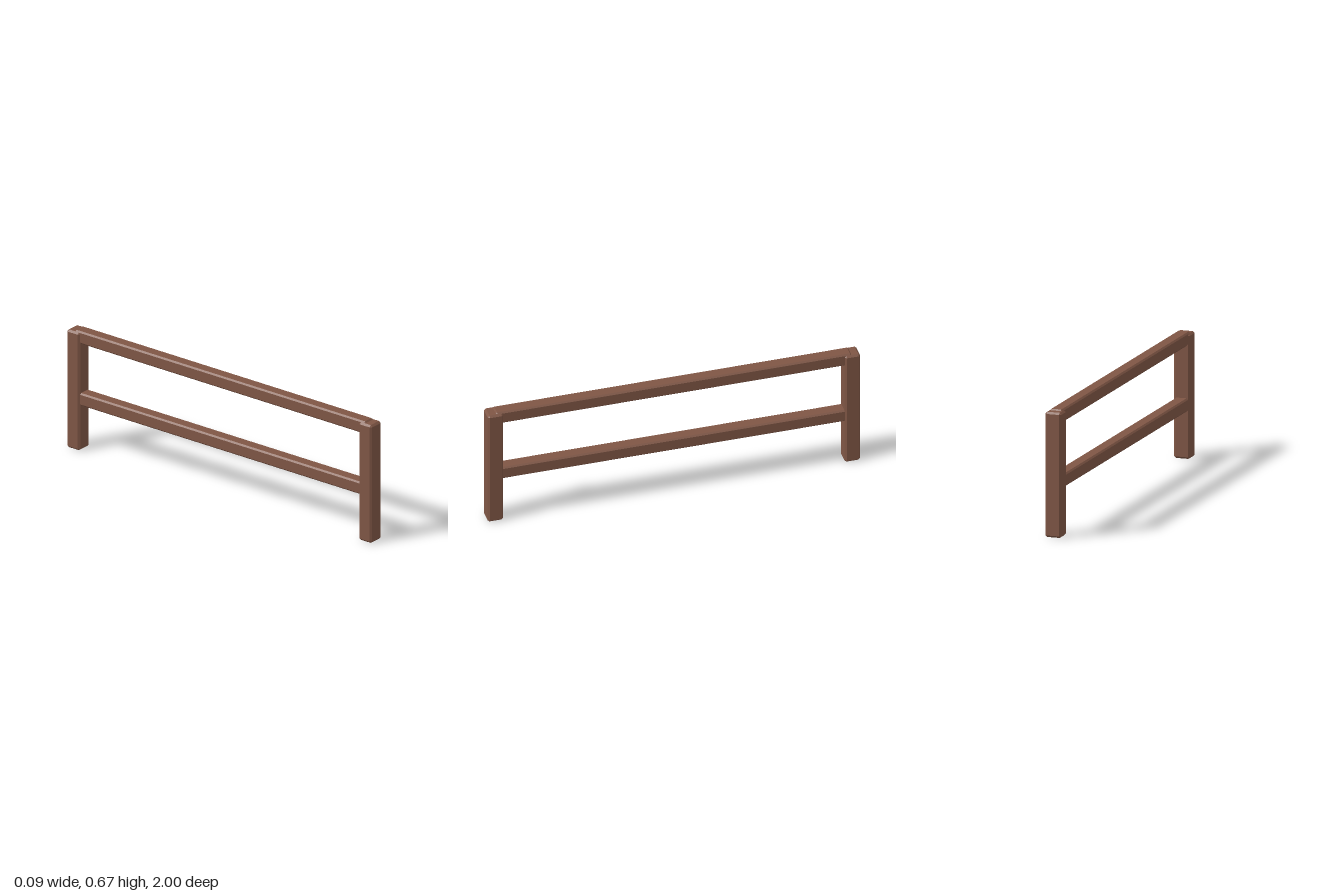
import * as THREE from 'three';
import { ConvexGeometry } from 'three/addons/geometries/ConvexGeometry.js';

// Box with every edge cut at 45 degrees: each corner becomes three points
function chamferedBeam(width, height, depth, cut) {
  const half = [width / 2, height / 2, depth / 2];
  const points = [];
  for (const sx of [-1, 1]) for (const sy of [-1, 1]) for (const sz of [-1, 1]) {
    for (let axis = 0; axis < 3; axis++) {
      const p = half.map((h, i) => (i === axis ? h : h - cut));
      points.push(new THREE.Vector3(sx * p[0], sy * p[1], sz * p[2]));
    }
  }
  return new ConvexGeometry(points);
}

export function createModel() {
  const model = new THREE.Group();
  model.name = 'railFence';
  const wood = new THREE.MeshStandardMaterial({ color: 0x7f5645 });
  wood.name = 'brownWood';

  const add = (name, geometry, y, z) => {
    const mesh = new THREE.Mesh(geometry, wood);
    mesh.name = name;
    mesh.position.set(0, y, z);
    model.add(mesh);
  };

  // Upright posts at both ends
  const post = chamferedBeam(0.088, 0.662, 0.084, 0.01);
  add('frontPost', post, 0.331, 0.958);
  add('backPost', post, 0.331, -0.958);

  // Horizontal rails, the upper one standing slightly proud of the posts
  const rail = chamferedBeam(0.07, 0.07, 1.91, 0.008);
  add('topRail', rail, 0.634, 0);
  add('lowerRail', rail, 0.287, 0);

  return model;
}
